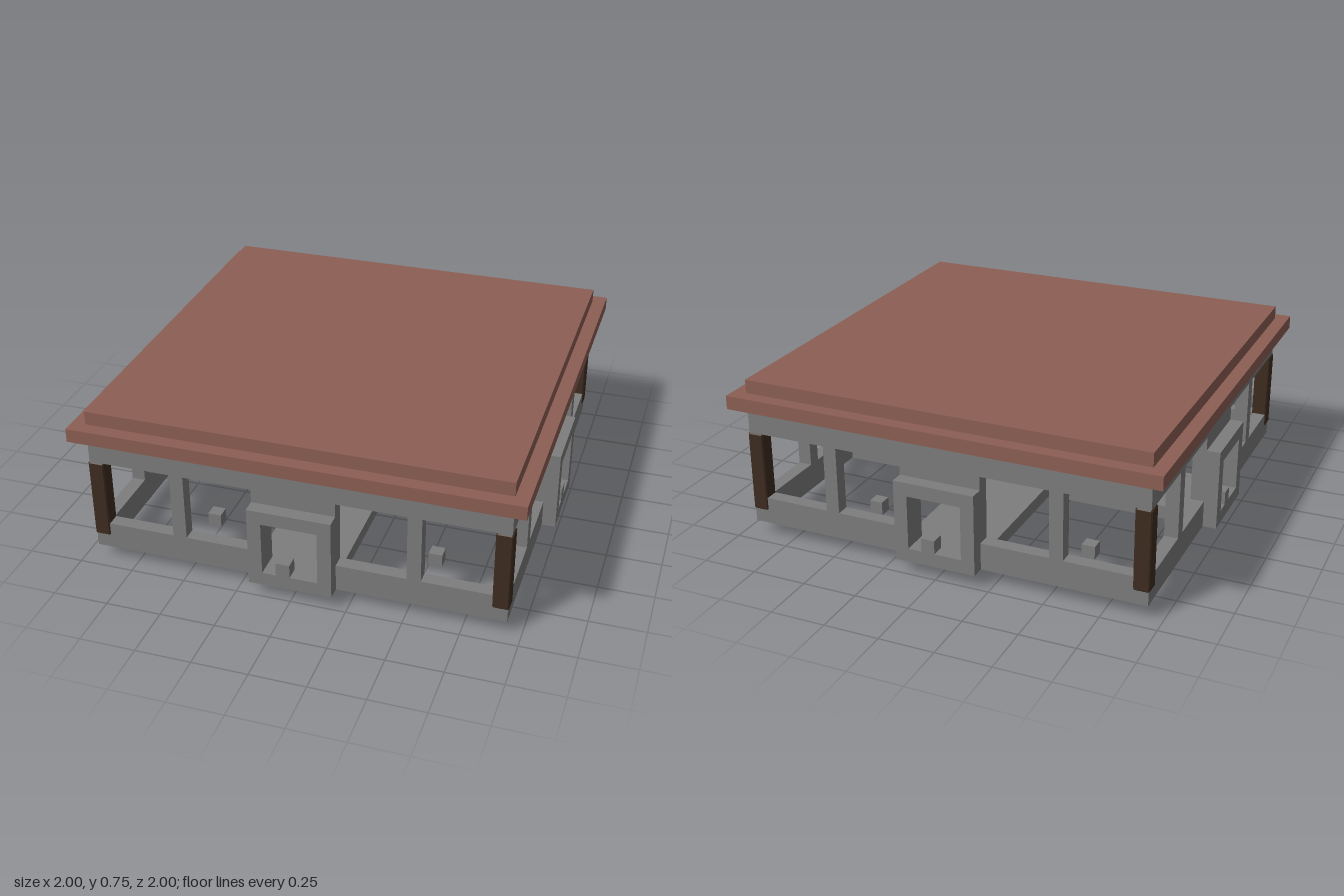
import * as THREE from 'three';

const U = 1 / 16; // block size: every part sits on this grid

const mat = (name, color) => {
  const m = new THREE.MeshStandardMaterial({ color });
  m.name = name;
  return m;
};

// Box given by its min and max corners, in blocks
function block(parent, name, material, x0, x1, y0, y1, z0, z1) {
  const g = new THREE.BoxGeometry((x1 - x0) * U, (y1 - y0) * U, (z1 - z0) * U);
  const mesh = new THREE.Mesh(g, material);
  mesh.name = name;
  mesh.position.set((x0 + x1) * U / 2, (y0 + y1) * U / 2, (z0 + z1) * U / 2);
  parent.add(mesh);
  return mesh;
}

// Plus-shaped outline: arm length a, half width b, in blocks
function crossShape(a, b) {
  const pts = [[b, a], [-b, a], [-b, b], [-a, b], [-a, -b], [-b, -b],
    [-b, -a], [b, -a], [b, -b], [a, -b], [a, b], [b, b]];
  return new THREE.Shape(pts.map(([x, y]) => new THREE.Vector2(x * U, y * U)));
}

// Flat shape laid on the ground plane between two heights
function slab(parent, name, material, shape, y0, y1, bevel = 0) {
  const g = new THREE.ExtrudeGeometry(shape, {
    depth: y1 - y0 - 2 * bevel, bevelEnabled: bevel > 0,
    bevelSize: bevel, bevelOffset: -bevel, bevelThickness: bevel, bevelSegments: 1,
  });
  g.rotateX(-Math.PI / 2);
  const mesh = new THREE.Mesh(g, material);
  mesh.name = name;
  mesh.position.y = y0 + bevel;
  parent.add(mesh);
  return mesh;
}

export function createModel() {
  const stone = mat('grey stone', 0x7d7d7d);
  const roof = mat('red brown roof', 0x8d5f54);
  const wood = mat('dark wood', 0x3e2c20);
  const glow = mat('amber lamp', 0xb68b43);
  const model = new THREE.Group();
  model.name = 'pavilion';

  // Stepped roof and ceiling
  block(model, 'ceiling', stone, -15, 15, 8, 10, -15, 15);
  block(model, 'eaves', roof, -16, 16, 10, 11, -16, 16);
  block(model, 'roofTop', roof, -15, 15, 11, 12, -15, 15);

  // Cross-shaped floor with a coloured centre
  slab(model, 'floor', stone, crossShape(14, 3), U, 2 * U);
  slab(model, 'floorCentre', roof, crossShape(1.6, 1), U - 0.002, 2 * U + 0.002);

  // Hanging centre lamp
  block(model, 'centreLampStem', wood, -1, 1, 6, 8, -1, 1);
  block(model, 'centreLamp', glow, -1, 1, 5, 6, -1, 1);

  // Portal frame with a square opening
  const frame = new THREE.Shape([[-3, 1], [3, 1], [3, 7], [-3, 7]]
    .map(([x, y]) => new THREE.Vector2(x * U, y * U)));
  frame.holes.push(new THREE.Path([[-2, 2], [-2, 6], [2, 6], [2, 2]]
    .map(([x, y]) => new THREE.Vector2(x * U, y * U))));
  const frameGeo = new THREE.ExtrudeGeometry(frame, { depth: 2 * U, bevelEnabled: false });
  frameGeo.translate(0, 0, 14 * U);

  // Corner pillar outline with trimmed edges
  const r = 0.0365, c = r - 0.006;
  const pillar = new THREE.Shape([[r, c], [c, r], [-c, r], [-r, c],
    [-r, -c], [-c, -r], [c, -r], [r, -c]].map(([x, y]) => new THREE.Vector2(x, y)));

  // The four sides are the same, turned by quarter turns
  for (let i = 0; i < 4; i++) {
    const side = new THREE.Group();
    side.name = 'side' + (i + 1);
    side.rotation.y = i * Math.PI / 2;
    model.add(side);

    const portal = new THREE.Mesh(frameGeo, stone);
    portal.name = 'portal';
    side.add(portal);
    block(side, 'portalLintel', stone, -3, 3, 7, 8, 14, 15);
    block(side, 'portalStep', stone, -1, 0, 2, 3, 15, 16);

    for (const s of [-1, 1]) {
      const [a, b] = s < 0 ? [-15, -3] : [3, 15];
      block(side, 'baseWall', stone, a, b, 1, 3, 14, 15);
      block(side, 'windowPost', stone, s * 8.5 - 0.5, s * 8.5 + 0.5, 3, 8, 14, 15);
    }

    // Ceiling lamps along each arm
    for (const z of [4, 12]) {
      block(side, 'lampHolder', wood, -1, 1, 7, 8, z, z + 1);
      block(side, 'lamp', glow, -1, 1, 6, 7, z, z + 1);
    }

    // Floor lamp by the centre
    block(side, 'floorLampBase', wood, 1, 2, 2, 3, 1, 2);
    block(side, 'floorLamp', glow, 1, 2, 3, 4, 1, 2);

    // Corner pillar, and the footing block in the open corner bay
    const post = slab(side, 'cornerPillar', wood, pillar, 2 * U, 8 * U, 0.006);
    post.position.x = post.position.z = 14.5 * U;
    block(side, 'footing', stone, 8, 9, 0, 1, 8, 9);
  }
  return model;
}
